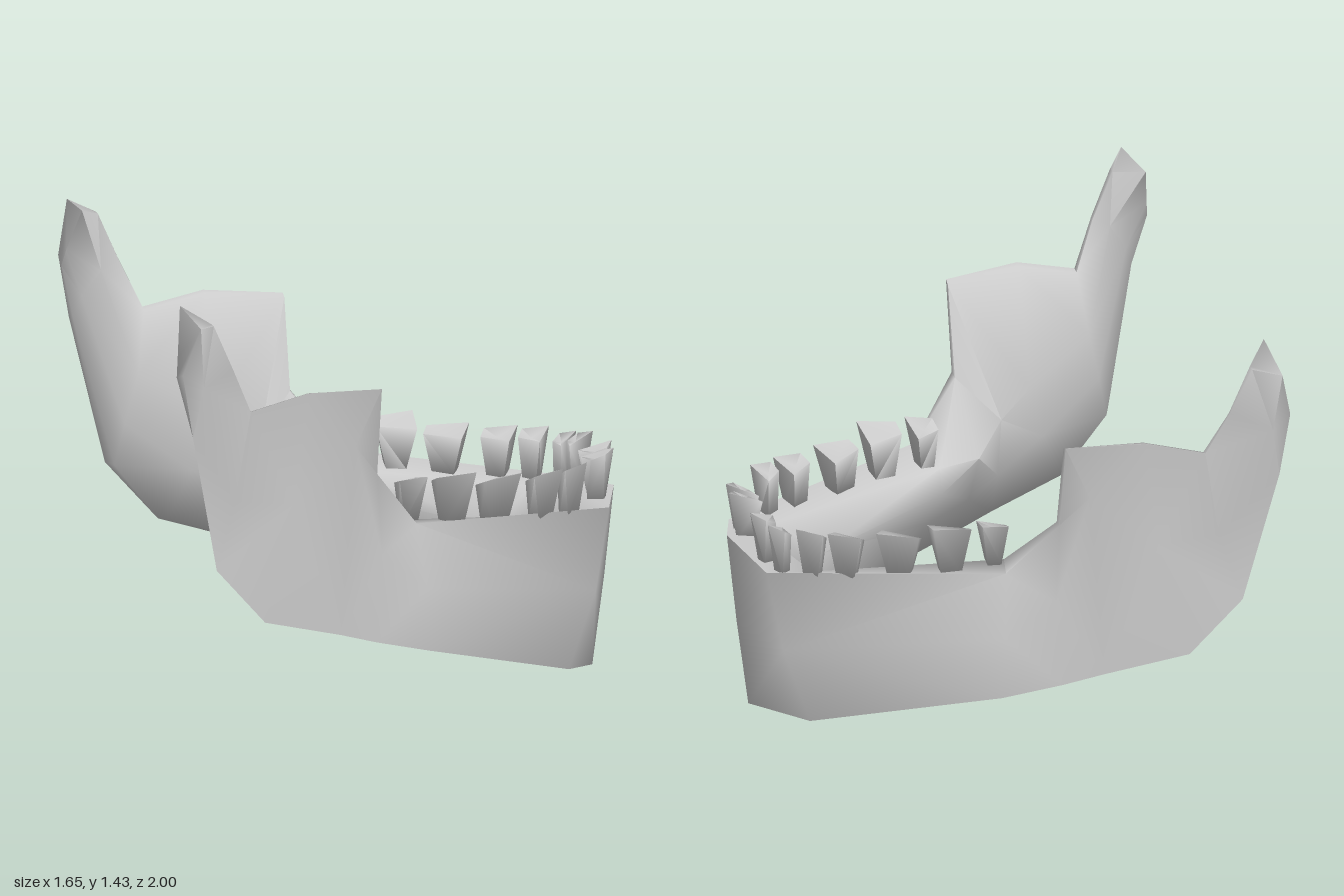
import * as THREE from 'three';
import { toCreasedNormals } from 'three/addons/utils/BufferGeometryUtils.js';

// Each cross-section: outer top, middle, bottom, then inner bottom, middle, shelf, top
const chin = [[0.82, 0.6, 0.04], [0.79, 0.3, 0.03], [0.75, 0, 0.03], [0.65, 0.02, 0.03], [0.57, 0.25, 0.03], [0.54, 0.44, 0.03], [0.69, 0.585, 0.03]];

const bodySections = [
  [[0.76, 0.57, 0.235], [0.71, 0.3, 0.26], [0.62, 0.04, 0.26], [0.54, 0.065, 0.2], [0.46, 0.25, 0.19], [0.45, 0.43, 0.2], [0.6, 0.55, 0.215]],
  [[0.04, 0.625, 0.57], [0.06, 0.42, 0.635], [0.07, 0.21, 0.63], [0.06, 0.22, 0.57], [0.03, 0.38, 0.46], [0.0, 0.52, 0.37], [0.0, 0.6, 0.395]],
  [[-0.115, 0.82, 0.67], [-0.1, 0.55, 0.68], [-0.12, 0.26, 0.69], [-0.12, 0.27, 0.63], [-0.13, 0.43, 0.51], [-0.14, 0.61, 0.42], [-0.115, 0.815, 0.63]],
];

const ramusSections = [
  [[-0.115, 1.12, 0.74], [-0.2, 0.93, 0.73], [-0.25, 0.3, 0.73], [-0.25, 0.31, 0.67], [-0.25, 0.47, 0.59], [-0.24, 0.7, 0.51], [-0.115, 1.11, 0.715]],
  [[-0.37, 1.13, 0.795], [-0.42, 0.76, 0.785], [-0.52, 0.37, 0.8], [-0.5, 0.385, 0.73], [-0.43, 0.55, 0.69], [-0.37, 0.75, 0.63], [-0.37, 1.125, 0.77]],
  [[-0.57, 1.08, 0.81], [-0.62, 0.78, 0.795], [-0.69, 0.56, 0.835], [-0.67, 0.56, 0.78], [-0.64, 0.7, 0.76], [-0.6, 0.87, 0.735], [-0.57, 1.075, 0.785]],
  [[-0.64, 1.235, 0.86], [-0.76, 1.2, 0.955], [-0.79, 1.03, 0.925], [-0.785, 1.04, 0.89], [-0.76, 1.11, 0.865], [-0.7, 1.2, 0.845], [-0.64, 1.23, 0.845]],
  [[-0.71, 1.39, 0.88], [-0.78, 1.41, 1.0], [-0.825, 1.24, 0.93], [-0.83, 1.22, 0.86], [-0.82, 1.28, 0.83], [-0.79, 1.43, 0.73], [-0.71, 1.39, 0.85]],
];

// Skin a chain of closed cross-sections, splitting quads on the short diagonal, and cap both ends
function loft(rings) {
  const n = rings[0].length, index = [];
  const points = rings.flat().map(p => new THREE.Vector3(...p));
  for (let i = 0; i < rings.length - 1; i++) {
    for (let j = 0; j < n; j++) {
      const a = i * n + j, b = i * n + (j + 1) % n, c = a + n, d = b + n;
      if (points[a].distanceTo(points[d]) < points[b].distanceTo(points[c])) {
        index.push(a, c, d, a, d, b);
      } else {
        index.push(a, c, b, b, c, d);
      }
    }
  }
  // Caps fan from the outer middle, leaving a ridge across the hinge
  const last = (rings.length - 1) * n;
  for (let k = 2; k < n; k++) {
    const next = (k + 1) % n;
    index.push(1, k, next, last + 1, last + next, last + k);
  }
  const geometry = new THREE.BufferGeometry().setFromPoints(points);
  geometry.setIndex(index);
  return toCreasedNormals(geometry, 1.3);
}

// Wedge-shaped tooth: narrow root, crown pinched at the rear with a raised outer edge
function toothGeometry(width, depth, height) {
  const geometry = new THREE.CylinderGeometry(Math.SQRT1_2, 0.36, 1, 4);
  geometry.rotateY(Math.PI / 4);
  const p = geometry.attributes.position;
  for (let i = 0; i < p.count; i++) {
    if (p.getY(i) > 0) {
      const outer = p.getZ(i) > 0.1, rear = p.getX(i) < -0.1;
      p.setY(i, outer ? (rear ? 0.42 : 0.5) : 0.3);
      if (rear) p.setZ(i, p.getZ(i) * 0.45 + 0.12);
    }
  }
  geometry.scale(width, height, depth);
  return toCreasedNormals(geometry, 1.7);
}

export function createModel() {
  const group = new THREE.Group();
  const material = new THREE.MeshStandardMaterial({ color: 0xcccccc, side: THREE.DoubleSide });

  // Jawbone: one continuous sweep from hinge to hinge round the chin
  const half = [...bodySections, ...ramusSections];
  const mirrored = half.map(ring => ring.map(([x, y, z]) => [x, y, -z])).reverse();
  const jaw = new THREE.Mesh(loft([...mirrored, chin, ...half]), material);
  jaw.name = 'jawbone';
  group.add(jaw);

  const addTooth = (name, [x, z, bottom, top, width, depth, yaw], side) => {
    const tooth = new THREE.Mesh(toothGeometry(width, depth, top - bottom), material);
    tooth.name = name;
    tooth.position.set(x, (top + bottom) / 2, z * side);
    tooth.rotation.y = yaw * side;
    tooth.scale.z = side;
    group.add(tooth);
  };

  // Cheek teeth: x, z, root height, crown height, width, depth, turn
  const cheekTeeth = [
    [0.045, 0.425, 0.61, 0.76, 0.09, 0.13, 0.1],
    [0.19, 0.42, 0.59, 0.765, 0.13, 0.13, 0.1],
    [0.345, 0.37, 0.575, 0.735, 0.14, 0.11, 0.45],
    [0.51, 0.32, 0.56, 0.73, 0.11, 0.1, 0.5],
    [0.615, 0.275, 0.55, 0.735, 0.09, 0.08, 0.6],
  ];
  for (const side of [1, -1]) {
    cheekTeeth.forEach(t => addTooth('cheekTooth', t, side));
  }

  // Front teeth: thin blades, unevenly spaced
  addTooth('frontTooth', [0.74, 0.125, 0.565, 0.745, 0.05, 0.11, 1.15], 1);
  addTooth('frontTooth', [0.755, 0.05, 0.58, 0.75, 0.05, 0.11, 1.4], 1);
  addTooth('frontTooth', [0.73, 0.135, 0.565, 0.745, 0.06, 0.1, 1.1], -1);
  addTooth('frontTooth', [0.7, 0.21, 0.55, 0.73, 0.06, 0.08, 0.9], -1);

  return group;
}
